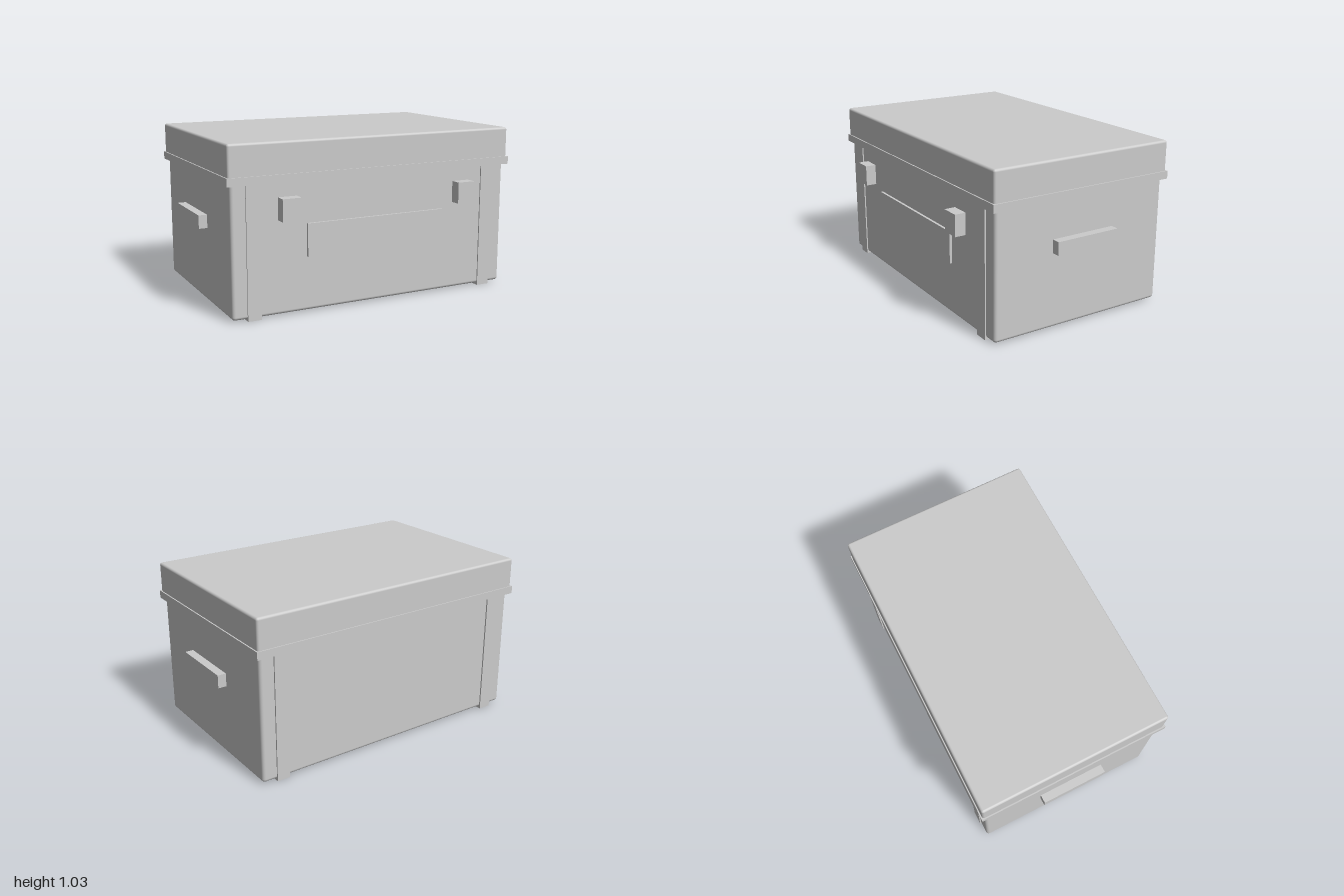
import * as THREE from 'three';
import { RoundedBoxGeometry } from 'three/addons/geometries/RoundedBoxGeometry.js';

const material = new THREE.MeshStandardMaterial({ color: 0xcccccc });

// Box given by its extents on each axis; a radius rounds its edges
function box(name, [x0, x1], [y0, y1], [z0, z1], radius = 0) {
  const size = [x1 - x0, y1 - y0, z1 - z0];
  const geometry = radius
    ? new RoundedBoxGeometry(...size, 3, radius)
    : new THREE.BoxGeometry(...size);
  const mesh = new THREE.Mesh(geometry, material);
  mesh.name = name;
  mesh.position.set((x0 + x1) / 2, (y0 + y1) / 2, (z0 + z1) / 2);
  return mesh;
}

export function createModel() {
  const group = new THREE.Group();
  group.name = 'storageChest';

  // Main case, rim and lid
  group.add(
    box('body', [-0.938, 0.938], [0.012, 0.83], [-0.624, 0.57], 0.02),
    box('rim', [-0.963, 0.963], [0.797, 0.846], [-0.65, 0.594]),
    box('lid', [-0.955, 0.955], [0.81, 1.035], [-0.643, 0.586], 0.015),
    box('frontPlate', [-0.468, 0.468], [0.342, 0.543], [0.565, 0.586])
  );

  // Straps under the case, latches and handles, mirrored left and right
  for (const [side, s] of [['left', 1], ['right', -1]]) {
    const span = (a, b) => (s > 0 ? [a, b] : [-b, -a]);
    group.add(
      box(side + 'Strap', span(0.763, 0.847), [0, 0.81], [-0.633, 0.578]),
      box(side + 'Latch', span(0.538, 0.656), [0.581, 0.715], [0.586, 0.655]),
      box(side + 'Handle', span(0.947, 1), [0.484, 0.566], [-0.242, 0.186])
    );
  }
  return group;
}
